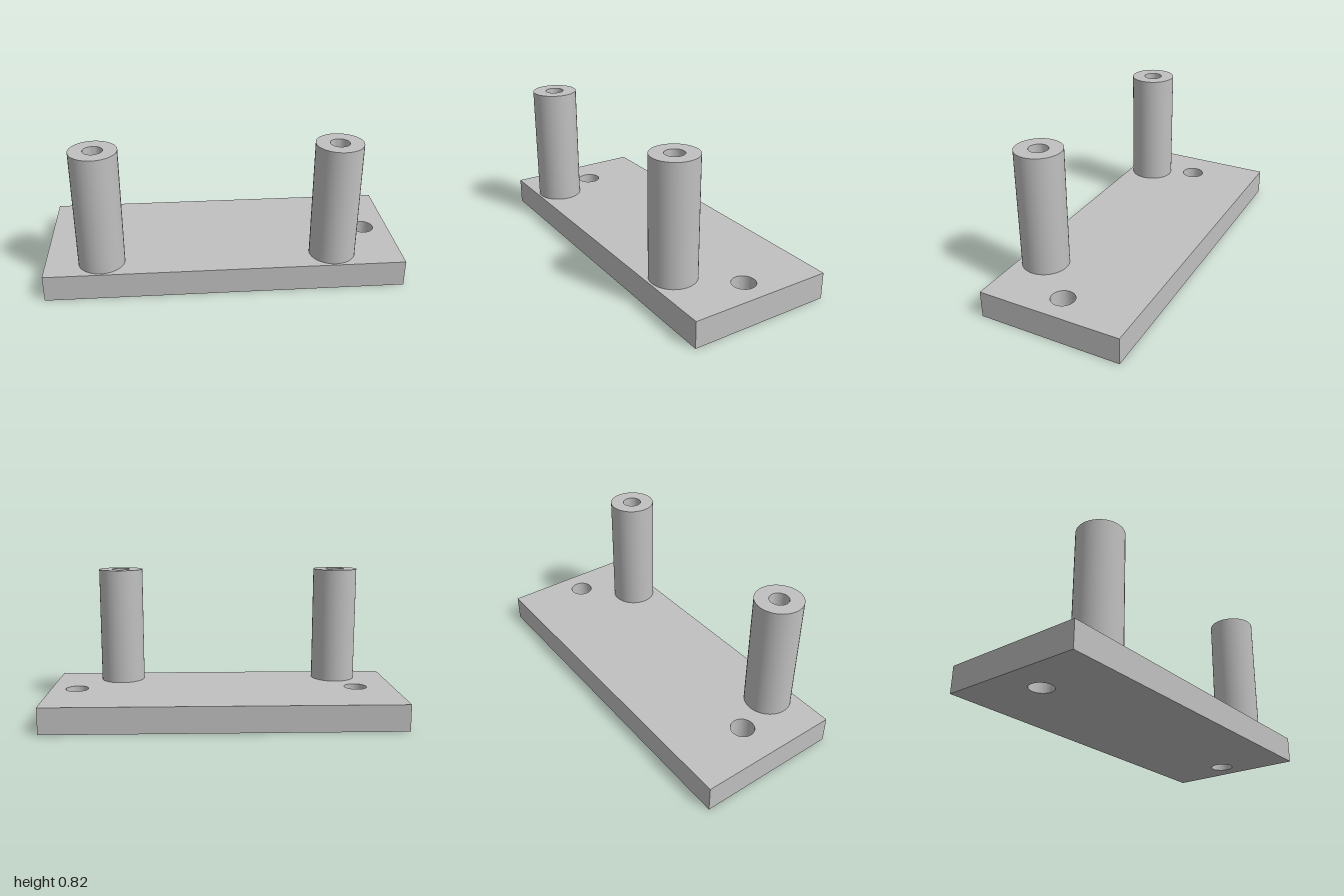
import * as THREE from 'three';
import { toCreasedNormals } from 'three/addons/utils/BufferGeometryUtils.js';

const PLATE_TOP = 0.15, POST_TOP = 0.823;

export function createModel() {
  const group = new THREE.Group();
  const grey = new THREE.MeshStandardMaterial({ color: 0xc0c0c0 });
  grey.name = 'grey metal';

  const addPart = (name, geometry) => {
    const mesh = new THREE.Mesh(toCreasedNormals(geometry, Math.PI / 6), grey);
    mesh.name = name;
    group.add(mesh);
    return mesh;
  };

  // Base plate with two through holes
  const outline = new THREE.Shape([[-1, -0.405], [1, -0.405], [1, 0.405], [-1, 0.405]]
    .map(([x, y]) => new THREE.Vector2(x, y)));
  for (const x of [-0.78, 0.85]) {
    outline.holes.push(new THREE.Path().absarc(x, 0, 0.065, 0, Math.PI * 2, true));
  }
  const plate = new THREE.ExtrudeGeometry(outline, {
    depth: PLATE_TOP, bevelEnabled: false, curveSegments: 32,
  });
  addPart('basePlate', plate.rotateX(-Math.PI / 2));

  // Hollow posts, their bores closed by the plate
  const profile = [[0.129, PLATE_TOP], [0.129, POST_TOP], [0.053, POST_TOP], [0.053, PLATE_TOP]]
    .map(([r, y]) => new THREE.Vector2(r, y));
  for (const [name, x] of [['rightPost', -0.688], ['leftPost', 0.608]]) {
    addPart(name, new THREE.LatheGeometry(profile, 40)).position.set(x, 0, 0.264);
  }
  return group;
}
